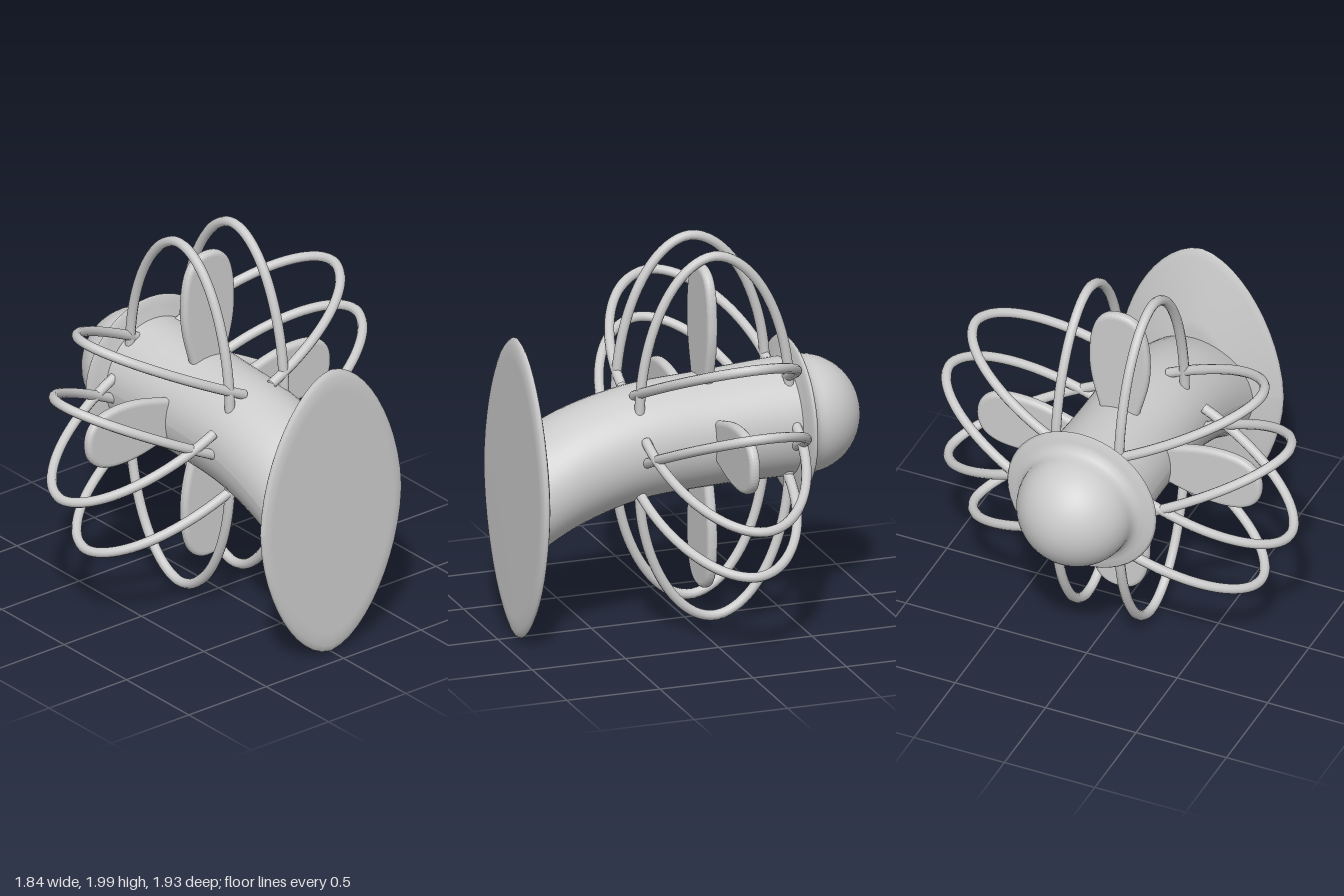
import * as THREE from 'three';

const AXIS_Y = 1.02;   // height of the main axis
const MID_X = -0.095;  // centre of the hoops and fins along the body
const material = new THREE.MeshStandardMaterial({ color: 0xcccccc, side: THREE.DoubleSide });
const rad = THREE.MathUtils.degToRad;

function part(name, geometry, parent) {
  const mesh = new THREE.Mesh(geometry, material);
  mesh.name = name;
  parent.add(mesh);
  return mesh;
}

const lathe = (points, sides) =>
  new THREE.LatheGeometry(points.map(([r, h]) => new THREE.Vector2(r, h)), sides);

// Round body whose centre line and radius follow a curve along x
function bodyGeometry() {
  const path = new THREE.CatmullRomCurve3([
    [-0.6, 1.02, 0.306], [-0.35, 1.013, 0.299], [-0.1, 1.003, 0.292], [0.3, 0.972, 0.293],
    [0.62, 0.88, 0.302], [0.82, 0.78, 0.31], [0.87, 0.752, 0.311],
  ].map((p) => new THREE.Vector3(...p)));
  const g = new THREE.CylinderGeometry(1, 1, 1, 48, 32, true);
  g.rotateZ(-Math.PI / 2);
  const pos = g.attributes.position;
  for (let i = 0; i < pos.count; i++) {
    const c = path.getPoint(THREE.MathUtils.clamp(pos.getX(i) + 0.5, 0, 1));
    pos.setXYZ(i, c.x, c.y + pos.getY(i) * c.z, pos.getZ(i) * c.z);
  }
  g.computeVertexNormals();
  return g;
}

// Domed nose with a thin collar
function noseGeometry() {
  const points = [[0.29, 0.525], [0.325, 0.532], [0.36, 0.541], [0.4, 0.546], [0.412, 0.558],
    [0.4, 0.57], [0.36, 0.576], [0.33, 0.588], [0.315, 0.605]];
  for (let i = 0; i <= 16; i++) {
    const a = (i / 16) * Math.PI / 2;
    points.push([0.304 * Math.cos(a), 0.625 + 0.297 * Math.sin(a)]);
  }
  return lathe(points, 48).rotateZ(Math.PI / 2);
}

// Tall pointed-oval end plate, turned and then reshaped
function plateGeometry() {
  const g = lathe([[0, 0.8], [0.43, 0.8], [0.5, 0.806], [0.75, 0.845], [0.93, 0.875], [0.98, 0.885],
    [1, 0.896], [0.985, 0.908], [0.95, 0.916], [0.9, 0.92], [0.86, 0.921], [0, 0.921]], 48);
  g.rotateZ(-Math.PI / 2);
  const pos = g.attributes.position;
  const p = 1.75;
  for (let i = 0; i < pos.count; i++) {
    const y = pos.getY(i), z = pos.getZ(i);
    const r = Math.hypot(y, z) || 1;
    const f = (Math.abs(y / r) ** p + Math.abs(z / r) ** p) ** (-1 / p);
    pos.setXYZ(i, pos.getX(i), 0.805 + y * f * 0.795, z * f * 0.455);
  }
  g.computeVertexNormals();
  return g;
}

// Arched hoop in the xy plane; its rear foot reaches deeper where the body drops
function hoopGeometry(rightFoot) {
  const points = [];
  const n = 32;
  for (let i = 0; i <= n; i++) {
    const t = (i / n) * Math.PI;
    const foot = THREE.MathUtils.lerp(0.22, rightFoot, i / n);
    const c = -Math.cos(t);
    points.push(new THREE.Vector3(
      MID_X + 0.4 * Math.sign(c) * Math.abs(c) ** 1.06,
      foot + (0.955 - foot) * Math.sin(t) ** 1.06, 0));
  }
  const curve = new THREE.CatmullRomCurve3(points);
  const g = new THREE.TubeGeometry(curve, 56, 0.026, 10, false);
  return g;
}

// Paddle-shaped fin with rounded edges, standing along y and thin in x
function finGeometry(tip) {
  const s = new THREE.Shape();
  s.moveTo(-0.08, 0.25);
  s.bezierCurveTo(-0.11, 0.36, -0.14, 0.44, -0.14, 0.56);
  s.bezierCurveTo(-0.14, tip - 0.07, -0.08, tip - 0.025, 0, tip - 0.025);
  s.bezierCurveTo(0.08, tip - 0.025, 0.14, tip - 0.07, 0.14, 0.56);
  s.bezierCurveTo(0.14, 0.44, 0.11, 0.36, 0.08, 0.25);
  const g = new THREE.ExtrudeGeometry(s, {
    depth: 0.012, bevelEnabled: true, bevelThickness: 0.022, bevelSize: 0.025,
    bevelSegments: 4, curveSegments: 14,
  });
  return g.translate(0, 0, -0.006).rotateY(Math.PI / 2).translate(MID_X, 0, 0);
}

export function createModel() {
  const model = new THREE.Group();
  model.name = 'finnedBody';

  part('body', bodyGeometry(), model);
  part('nose', noseGeometry(), model).position.y = AXIS_Y;
  part('endPlate', plateGeometry(), model);

  // Six pairs of parallel hoops around the axis: [turn from the top, half gap]
  const pairs = [[0, 0.175], [63.5, 0.168], [115.7, 0.185], [180, 0.175], [-115.5, 0.158], [-65.8, 0.175]];
  for (const [turn, gap] of pairs) {
    const pair = new THREE.Group();
    pair.name = 'hoopPair';
    pair.position.y = AXIS_Y;
    pair.rotation.x = rad(turn);
    const geometry = hoopGeometry(0.2 - 0.05 * Math.cos(rad(turn)));
    for (const side of [-1, 1]) part('hoop', geometry, pair).position.z = side * gap;
    model.add(pair);
  }

  // Four fins: top and bottom are a little longer than the sides
  for (let i = 0; i < 4; i++) {
    const fin = part('fin', finGeometry(i % 2 ? 0.785 : 0.855), model);
    fin.position.y = AXIS_Y;
    fin.rotation.x = i * Math.PI / 2;
  }
  return model;
}
